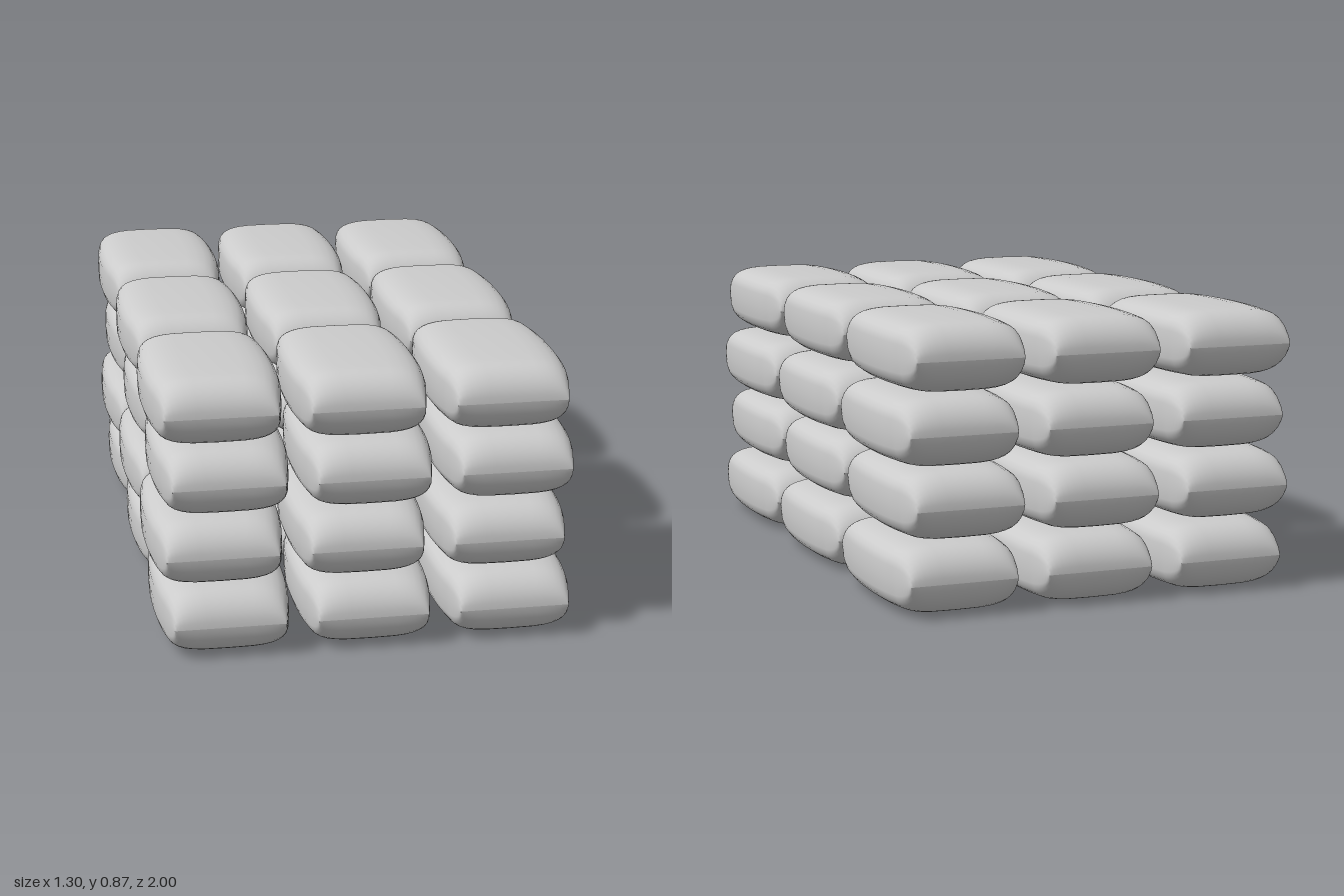
import * as THREE from 'three';

// One stuffed sack: rounded-rectangle sections along z, closing to a seam ridge at each end
function sackGeometry() {
  const SIDES = 32, CAP = 8, MID = 8;
  const halfLength = 0.323, round = 0.106, straight = halfLength - round;
  const stations = []; // [z, half height]
  for (let i = 0; i < CAP; i++) {
    const a = (i / CAP) * Math.PI / 2;
    stations.push([-straight - round * Math.cos(a), 0.102 * Math.sin(a)]);
  }
  for (let i = 0; i <= MID; i++) {
    const t = -1 + (2 * i) / MID;
    stations.push([straight * t, 0.102 + 0.004 * (1 - t * t)]);
  }
  for (let i = CAP - 1; i >= 0; i--) stations.push([-stations[i][0], stations[i][1]]);

  const soften = (v) => Math.sign(v) * Math.pow(Math.abs(v), 2 / 3.7);
  const positions = [], index = [];
  stations.forEach(([z, h], k) => {
    const w = 0.205 - 0.036 * Math.pow(Math.abs(z) / halfLength, 2.4);
    for (let i = 0; i < SIDES; i++) {
      const a = (i / SIDES) * Math.PI * 2;
      positions.push(w * soften(Math.cos(a)), h * soften(Math.sin(a)), z);
      if (k === stations.length - 1) continue;
      const p = k * SIDES + i, q = k * SIDES + (i + 1) % SIDES;
      index.push(p, q, p + SIDES, q, q + SIDES, p + SIDES);
    }
  });
  const geometry = new THREE.BufferGeometry();
  geometry.setAttribute('position', new THREE.Float32BufferAttribute(positions, 3));
  geometry.setIndex(index);
  geometry.computeVertexNormals();
  return geometry;
}

export function createModel() {
  const model = new THREE.Group();
  model.name = 'sackStack';
  const geometry = sackGeometry();
  const material = new THREE.MeshStandardMaterial({ color: 0xcccccc });

  // Four layers of three by three sacks, alternately shifted sideways
  for (let level = 0; level < 4; level++) {
    const layer = new THREE.Group();
    layer.name = `layer${level + 1}`;
    layer.position.set(level % 2 ? -0.01 : 0.01, 0.11 + level * 0.219, 0);
    for (let row = -1; row <= 1; row++) {
      for (let col = -1; col <= 1; col++) {
        const sack = new THREE.Mesh(geometry, material);
        sack.name = 'sack';
        sack.position.set(col * 0.435, 0, row * 0.677);
        layer.add(sack);
      }
    }
    model.add(layer);
  }
  return model;
}
